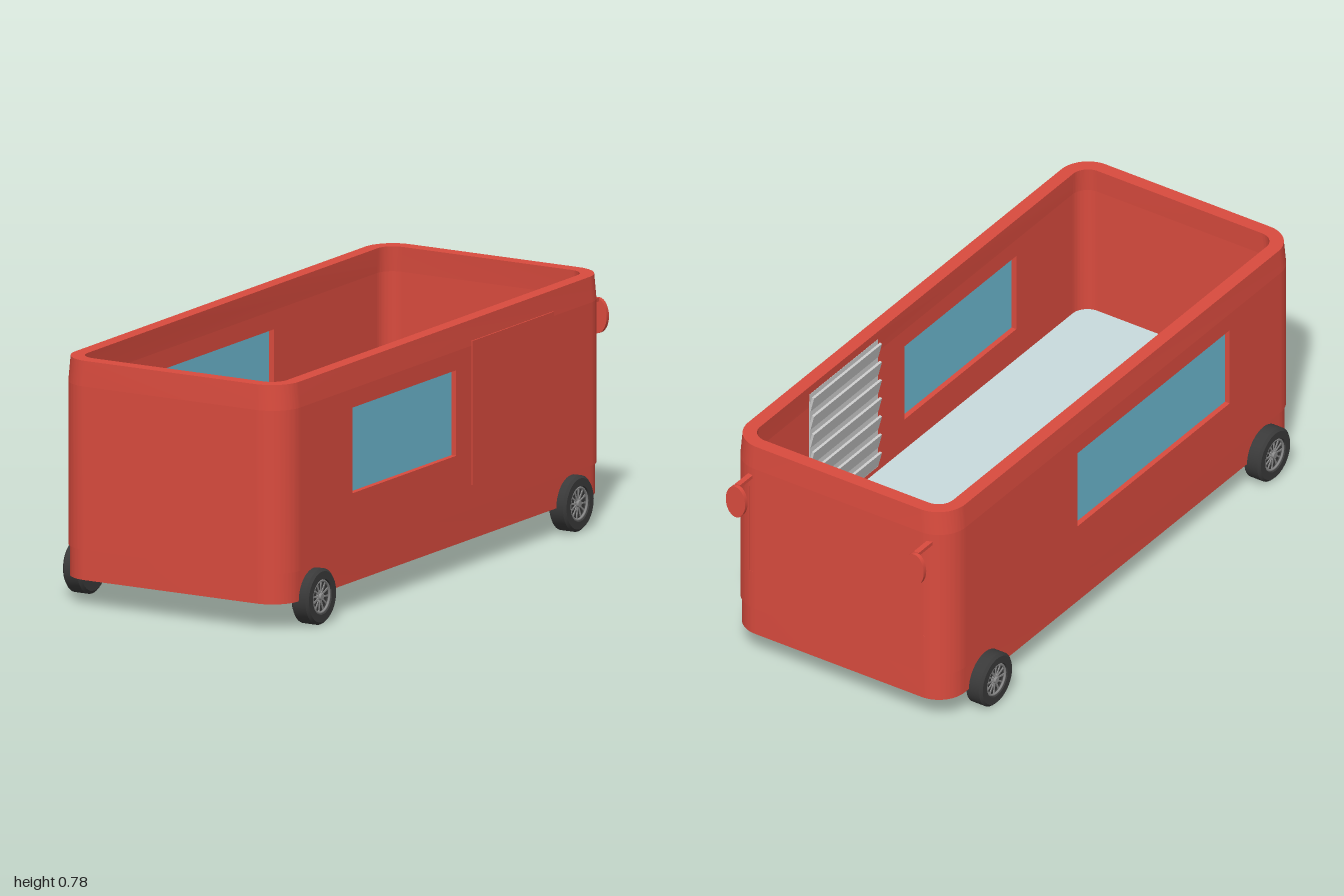
import * as THREE from 'three';
import { toCreasedNormals } from 'three/addons/utils/BufferGeometryUtils.js';

const mat = (color) => new THREE.MeshStandardMaterial({ color });
const red = mat(0xd94b3e), glass = mat(0x6cb8d0), floorMat = mat(0xc9dbdd);
const rubber = mat(0x3a3a3a), metal = mat(0x8a8a8a), grey = mat(0xcccccc);

// Body plan: outer faces, wall thickness and corner radius
const X0 = -0.403, X1 = 0.417, Z0 = -0.917, Z1 = 0.997, T = 0.045, R = 0.1;
const CX = (X0 + X1) / 2, CZ = (Z0 + Z1) / 2;
const SEAM = 0.185, RIM = 0.7, TOP = 0.78;

function add(parent, name, geometry, material, x = 0, y = 0, z = 0) {
  const mesh = new THREE.Mesh(geometry, material);
  mesh.name = name;
  mesh.position.set(x, y, z);
  parent.add(mesh);
  return mesh;
}

function box(parent, name, material, x0, x1, y0, y1, z0, z1) {
  return add(parent, name, new THREE.BoxGeometry(x1 - x0, y1 - y0, z1 - z0), material,
    (x0 + x1) / 2, (y0 + y1) / 2, (z0 + z1) / 2);
}

// Rounded rectangle in plan, inset from the outer body faces
function plan(inset, Kind = THREE.Shape) {
  const s = new Kind(), r = R - inset;
  const a = X0 + inset, b = X1 - inset, c = Z0 + inset, d = Z1 - inset;
  s.moveTo(a + r, c);
  s.lineTo(b - r, c).absarc(b - r, c + r, r, -Math.PI / 2, 0, false);
  s.lineTo(b, d - r).absarc(b - r, d - r, r, 0, Math.PI / 2, false);
  s.lineTo(a + r, d).absarc(a + r, d - r, r, Math.PI / 2, Math.PI, false);
  s.lineTo(a, c + r).absarc(a + r, c + r, r, Math.PI, Math.PI * 1.5, false);
  return s;
}

// Plan shape (x, z) raised from y0 to y1
function raise(shape, y0, y1) {
  const g = new THREE.ExtrudeGeometry(shape, { depth: y1 - y0, bevelEnabled: false, curveSegments: 12 });
  return g.rotateX(Math.PI / 2).translate(0, y1, 0);
}

function ring(outer, inner, y0, y1) {
  const s = plan(outer);
  s.holes.push(plan(inner, THREE.Path));
  return raise(s, y0, y1);
}

// Upright wall with an optional rectangular window [u0, u1, v0, v1]
function wall(u0, u1, win) {
  const rect = (s, [a, b, c, d]) => s.moveTo(a, c).lineTo(b, c).lineTo(b, d).lineTo(a, d).lineTo(a, c);
  const s = rect(new THREE.Shape(), [u0, u1, SEAM, RIM]);
  if (win) s.holes.push(rect(new THREE.Path(), win));
  return new THREE.ExtrudeGeometry(s, { depth: T, bevelEnabled: false });
}

function createBody() {
  const body = new THREE.Group();
  body.name = 'body';
  const sideWin = [-0.02, 0.59, 0.37, 0.64], longWin = [-0.21, 0.62, 0.37, 0.64];
  const screen = [-0.32, 0.335, 0.32, 0.63];

  // Straight walls
  add(body, 'leftWall', wall(Z0 + R, Z1 - R, sideWin).rotateY(-Math.PI / 2), red, X1);
  add(body, 'rightWall', wall(Z0 + R, Z1 - R, longWin).rotateY(-Math.PI / 2), red, X0 + T);
  add(body, 'plainEndWall', wall(X0 + R, X1 - R), red, 0, 0, Z1 - T);
  add(body, 'windscreenWall', wall(X0 + R, X1 - R, screen), red, 0, 0, Z0);

  // Rounded corners
  const corners = [[X1 - R, Z1 - R], [X0 + R, Z1 - R], [X0 + R, Z0 + R], [X1 - R, Z0 + R]];
  corners.forEach(([x, z], i) => {
    const a = i * Math.PI / 2, b = a + Math.PI / 2;
    const s = new THREE.Shape();
    s.absarc(0, 0, R, a, b, false).absarc(0, 0, R - T, b, a, true);
    add(body, 'cornerPost', toCreasedNormals(raise(s, SEAM, RIM), 0.6), red, x, 0, z);
  });

  // Top rim leans slightly inwards
  const rim = ring(0, T, RIM, TOP), p = rim.attributes.position;
  for (let i = 0; i < p.count; i++) {
    if (p.getY(i) < TOP - 0.01) continue;
    p.setX(i, CX + (p.getX(i) - CX) * 0.986);
    p.setZ(i, CZ + (p.getZ(i) - CZ) * 0.995);
  }
  rim.computeVertexNormals();
  add(body, 'topRim', toCreasedNormals(rim, 0.6), red);
  add(body, 'skirt', toCreasedNormals(ring(0.005, T, 0.088, SEAM), 0.6), red);
  add(body, 'floor', toCreasedNormals(raise(plan(T - 0.003), 0.225, 0.26), 0.6), floorMat);

  // Glass set into the openings
  const g = 0.005;
  const pane = (name, x, [a, b, c, d]) => box(body, name, glass, x - g, x + g, c, d, a, b);
  pane('leftWindow', X1 - T / 2, sideWin);
  pane('rightWindow', X0 + T / 2, longWin);
  box(body, 'windscreen', glass, screen[0], screen[1], screen[2], screen[3],
    Z0 + T / 2 - g, Z0 + T / 2 + g);

  // Side door panel and the slatted panel inside it
  box(body, 'sideDoor', red, X1 - 0.01, X1 + 0.003, 0.26, 0.715, -0.59, -0.11);
  const louver = new THREE.Group();
  louver.name = 'louver';
  body.add(louver);
  box(louver, 'louverBack', grey, 0.368, 0.374, 0.28, 0.75, -0.54, -0.17);
  for (let i = 0; i < 7; i++) {
    const slat = add(louver, 'louverSlat', new THREE.BoxGeometry(0.008, 0.055, 0.37), grey,
      0.363, 0.312 + i * 0.067, -0.355);
    slat.rotation.z = 0.25;
  }
  return body;
}

function createWheel(side, z) {
  const wheel = new THREE.Group();
  wheel.name = 'wheel';
  // Tyre with a dished outer face, turned around its axle
  const profile = [[0, -0.032], [0.078, -0.032], [0.088, -0.024], [0.088, 0.024], [0.08, 0.032],
    [0.056, 0.032], [0.052, 0.016], [0, 0.016]].map(([r, h]) => new THREE.Vector2(r, h));
  const tyre = toCreasedNormals(new THREE.LatheGeometry(profile, 40), 0.5);
  add(wheel, 'tyre', tyre, rubber);
  const hoop = new THREE.TorusGeometry(0.05, 0.004, 6, 32).rotateX(Math.PI / 2);
  add(wheel, 'wheelRim', hoop, metal, 0, 0.026, 0);
  add(wheel, 'hub', new THREE.CylinderGeometry(0.01, 0.012, 0.016, 16), metal, 0, 0.024, 0);
  // Crossed wire spokes
  for (let i = 0; i < 24; i++) {
    const spoke = add(wheel, 'spoke', new THREE.BoxGeometry(0.046, 0.003, 0.003).translate(0.026, 0, 0), metal,
      0, 0.023, 0);
    spoke.rotation.y = i * Math.PI / 12;
    spoke.geometry.rotateY(i % 2 ? 0.1 : -0.1);
  }
  wheel.rotation.z = -side * Math.PI / 2;
  wheel.position.set(side * 0.412, 0.089, z);
  return wheel;
}

function createMirror(side) {
  const mirror = new THREE.Group();
  mirror.name = 'mirror';
  box(mirror, 'mirrorArm', red, -0.009, 0.009, 0.662, 0.674, -0.985, -0.9);
  const head = new THREE.CylinderGeometry(0.5, 0.5, 0.014, 28).rotateX(Math.PI / 2).scale(0.072, 0.112, 1);
  add(mirror, 'mirrorHead', head, red, 0, 0.616, -0.99);
  mirror.position.x = side * 0.333;
  return mirror;
}

export function createModel() {
  const model = new THREE.Group();
  model.name = 'openTopBus';
  model.add(createBody());
  for (const side of [-1, 1]) {
    for (const z of [0.81, -0.705]) model.add(createWheel(side, z));
    model.add(createMirror(side));
  }
  return model;
}
